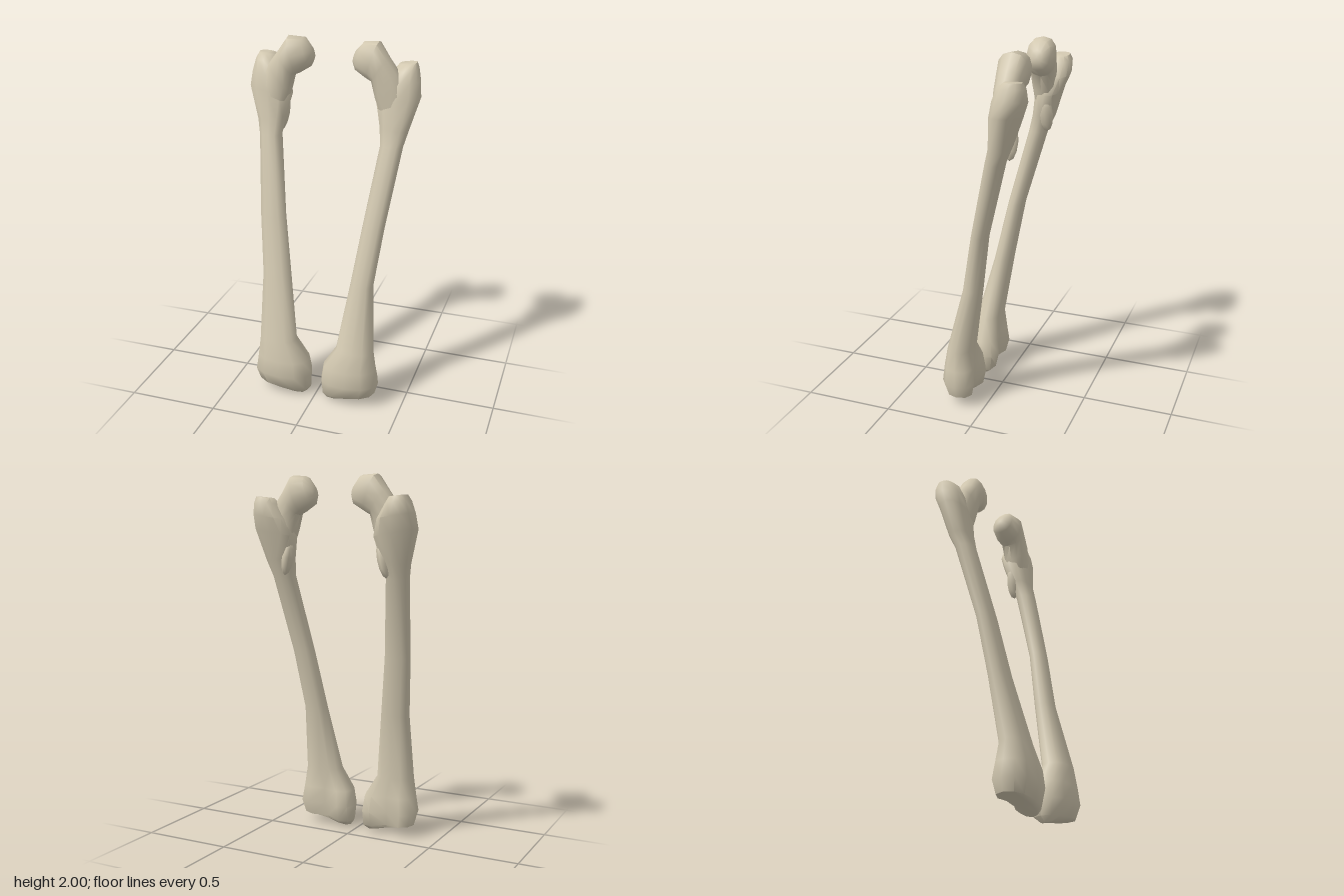
import * as THREE from 'three';
import { toCreasedNormals } from 'three/addons/utils/BufferGeometryUtils.js';

const SIDES = 12;
const bone = new THREE.MeshStandardMaterial({ color: 0xd2c8b0 });

// Skin of rings. Each ring spans from (x1,y1) to (x2,y2), with depth centre z,
// half depth rz and an optional groove pushed into its back. side = -1 mirrors it.
function loft(rings, side) {
  const pos = [], index = [];
  const soft = v => Math.sign(v) * Math.pow(Math.abs(v), 0.85);
  for (const [x1, y1, x2, y2, z, rz, groove = 0] of rings) {
    for (let i = 0; i < SIDES; i++) {
      const a = (i / SIDES) * Math.PI * 2;
      const t = 0.5 + 0.5 * soft(Math.cos(a));
      const dent = groove * Math.max(0, 1 - Math.abs(i - 9) * 0.8);
      pos.push(side * (x1 + (x2 - x1) * t), y1 + (y2 - y1) * t, z + rz * soft(Math.sin(a)) + dent);
    }
  }
  const tri = (a, b, c) => (side > 0 ? index.push(a, b, c) : index.push(a, c, b));
  const last = (rings.length - 1) * SIDES;
  for (let r = 0; r < last; r += SIDES) {
    for (let i = 0; i < SIDES; i++) {
      const j = (i + 1) % SIDES;
      tri(r + i, r + SIDES + i, r + j);
      tri(r + j, r + SIDES + i, r + SIDES + j);
    }
  }
  // end caps
  for (const [r, start] of [[rings[0], 0], [rings[rings.length - 1], last]]) {
    const c = pos.length / 3;
    pos.push(side * (r[0] + r[2]) / 2, (r[1] + r[3]) / 2, r[4]);
    for (let i = 0; i < SIDES; i++) {
      const a = start + i, b = start + (i + 1) % SIDES;
      if (start === 0) tri(c, a, b); else tri(c, b, a);
    }
  }
  const geo = new THREE.BufferGeometry();
  geo.setAttribute('position', new THREE.Float32BufferAttribute(pos, 3));
  geo.setIndex(index);
  return toCreasedNormals(geo, 0.95);
}

function thighBone(side) {
  const group = new THREE.Group();
  group.name = side > 0 ? 'leftThighBone' : 'rightThighBone';
  const add = (name, geo) => {
    const mesh = new THREE.Mesh(geo, bone);
    mesh.name = name;
    group.add(mesh);
    return mesh;
  };
  // the right shaft is a little fuller on its outer side
  const full = side < 0 ? 0.035 : 0;

  // knee end, shaft and outer hip knob in one skin
  add('shaft', loft([
    [0.06, 0.00, 0.31, 0.055, 0.16, 0.055, 0.02],
    [0.035, 0.03, 0.345, 0.06, 0.15, 0.09, 0.06],
    [0.03, 0.12, 0.365, 0.13, 0.152, 0.113, 0.06],
    [0.045, 0.21, 0.35, 0.22, 0.155, 0.10, 0.04],
    [0.12, 0.33, 0.335, 0.33, 0.157, 0.073],
    [0.175, 0.70, 0.305 + full, 0.70, 0.08, 0.052],
    [0.222, 1.03, 0.345 + full * 0.7, 1.03, 0.02, 0.045],
    [0.28, 1.46, 0.405, 1.46, -0.09, 0.052],
    [0.265, 1.56, 0.425, 1.54, -0.12, 0.06],
    [0.235, 1.68, 0.478, 1.72, -0.15, 0.075],
    [0.27, 1.77, 0.468, 1.80, -0.175, 0.085],
    [0.325, 1.85, 0.452, 1.86, -0.19, 0.072],
    [0.345, 1.88, 0.44, 1.89, -0.20, 0.045],
  ], side));

  // neck and rounded hip head, leaning inward
  add('hipHead', loft([
    [0.27, 1.60, 0.40, 1.74, -0.13, 0.055],
    [0.235, 1.70, 0.36, 1.85, -0.135, 0.068],
    [0.215, 1.79, 0.305, 1.92, -0.135, 0.072],
    [0.19, 1.80, 0.25, 2.00, -0.14, 0.083],
    [0.125, 1.84, 0.17, 1.995, -0.145, 0.066],
    [0.108, 1.88, 0.125, 1.945, -0.145, 0.03],
  ], side));

  // small inner knob below the neck
  const knob = add('lesserKnob', new THREE.SphereGeometry(1, 8, 6));
  knob.scale.set(0.03, 0.10, 0.04);
  knob.position.set(side * 0.285, 1.565, -0.15);
  knob.rotation.z = side * 0.2;
  return group;
}

export function createModel() {
  const model = new THREE.Group();
  model.name = 'thighBones';
  model.add(thighBone(1), thighBone(-1));
  return model;
}
